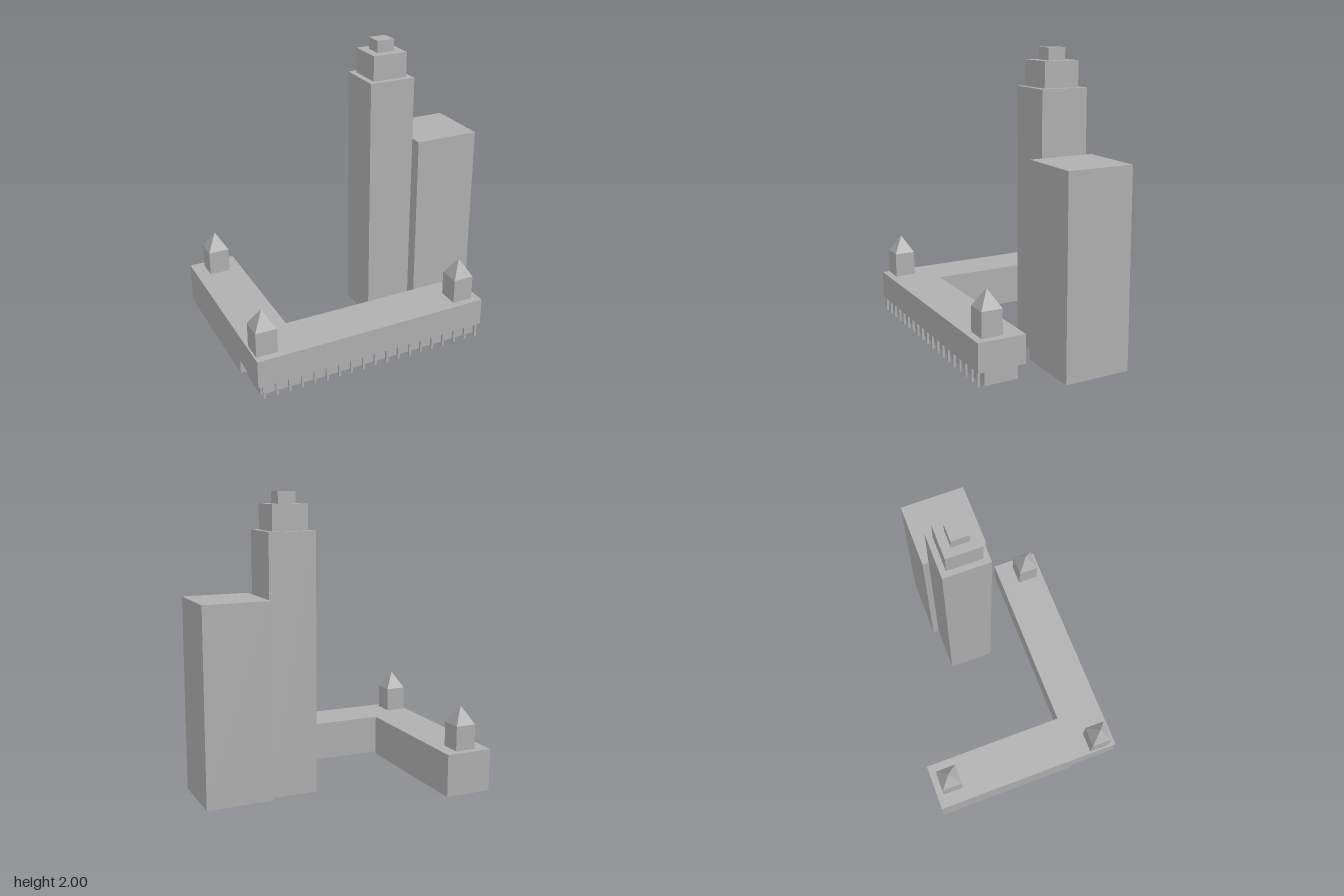
import * as THREE from 'three';

const stone = new THREE.MeshStandardMaterial({ color: 0xb0b0b0, side: THREE.DoubleSide });
stone.name = 'stone grey';

const rect = (x0, x1, z0, z1) => [[x0, z0], [x0, z1], [x1, z1], [x1, z0]];

// Horizontal plate from a plan outline [x, z], with optional holes, facing up or down
function plate(outline, y, holes = [], faceUp = true) {
  const flip = ([x, z]) => new THREE.Vector2(x, faceUp ? -z : z);
  const shape = new THREE.Shape(outline.map(flip));
  holes.forEach(h => shape.holes.push(new THREE.Path(h.map(flip))));
  const g = new THREE.ShapeGeometry(shape);
  g.rotateX(faceUp ? -Math.PI / 2 : Math.PI / 2);
  g.translate(0, y, 0);
  return new THREE.Mesh(g, stone);
}

// Vertical walls; the outline runs from the back-left corner towards the front
function walls(outline, y0, y1) {
  const p = [];
  outline.forEach(([x, z], i) => {
    const [u, w] = outline[(i + 1) % outline.length];
    p.push(x, y0, z, u, y0, w, u, y1, w, x, y0, z, u, y1, w, x, y1, z);
  });
  const g = new THREE.BufferGeometry();
  g.setAttribute('position', new THREE.Float32BufferAttribute(p, 3));
  g.computeVertexNormals();
  return new THREE.Mesh(g, stone);
}

// Hollow block, open at the bottom
function block(name, outline, y0, y1, holes) {
  const group = new THREE.Group();
  group.name = name;
  group.add(walls(outline, y0, y1), plate(outline, y1, holes));
  return group;
}

export function createModel() {
  const model = new THREE.Group();

  // Stepped tower and the slab beside it
  const towerPlan = rect(0.145, 0.47, -0.225, 0.1);
  const middlePlan = rect(0.185, 0.43, -0.185, 0.06);
  const crownPlan = rect(0.245, 0.367, -0.125, -0.003);
  model.add(
    block('towerShaft', towerPlan, 0, 1.75, [middlePlan]),
    block('towerStep', middlePlan, 1.75, 1.92, [crownPlan]),
    block('towerCrown', crownPlan, 1.92, 2),
    block('slabBlock', rect(0.47, 0.925, -0.268, 0.185), 0, 1.32),
  );

  // Turret plans, also cut out of the roofs beneath them
  const turrets = [[-0.845, 0.555], [0.595, 0.555], [-0.765, -0.56]];
  const h = 0.072;
  const turretPlans = turrets.map(([x, z]) => rect(x - h, x + h, z - h, z + h));

  // Side wing down to the ground, front hall raised on a recessed base
  const hallPlan = rect(-0.93, 0.72, 0.35, 0.677);
  const basePlan = rect(-0.9, 0.7, 0.395, 0.625);
  model.add(
    block('sideWing', rect(-0.93, -0.602, -0.68, 0.35), 0, 0.29, [turretPlans[2]]),
    block('frontHall', hallPlan, 0.097, 0.29, turretPlans.slice(0, 2)),
  );
  const underside = plate(hallPlan, 0.097, [], false);
  underside.name = 'hallUnderside';
  const base = walls(basePlan, 0, 0.097);
  base.name = 'hallBase';
  model.add(underside, base);

  // Turrets with pyramid caps
  turrets.forEach(([x, z], i) => {
    const turret = new THREE.Group();
    turret.name = 'turret';
    const cap = new THREE.ConeGeometry(h * Math.SQRT2, 0.12, 4, 1, true).toNonIndexed();
    cap.rotateY(Math.PI / 4);
    cap.translate(x, 0.52, z);
    cap.computeVertexNormals();
    turret.add(walls(turretPlans[i], 0.29, 0.46), new THREE.Mesh(cap, stone));
    model.add(turret);
  });

  // Row of slim columns under the hall's front edge
  const count = 19;
  for (let i = 0; i < count; i++) {
    const column = new THREE.Mesh(new THREE.BoxGeometry(0.016, 0.097, 0.016), stone);
    column.name = 'column';
    column.position.set(-0.89 + (i * 1.58) / (count - 1), 0.0485, 0.663);
    model.add(column);
  }
  return model;
}
